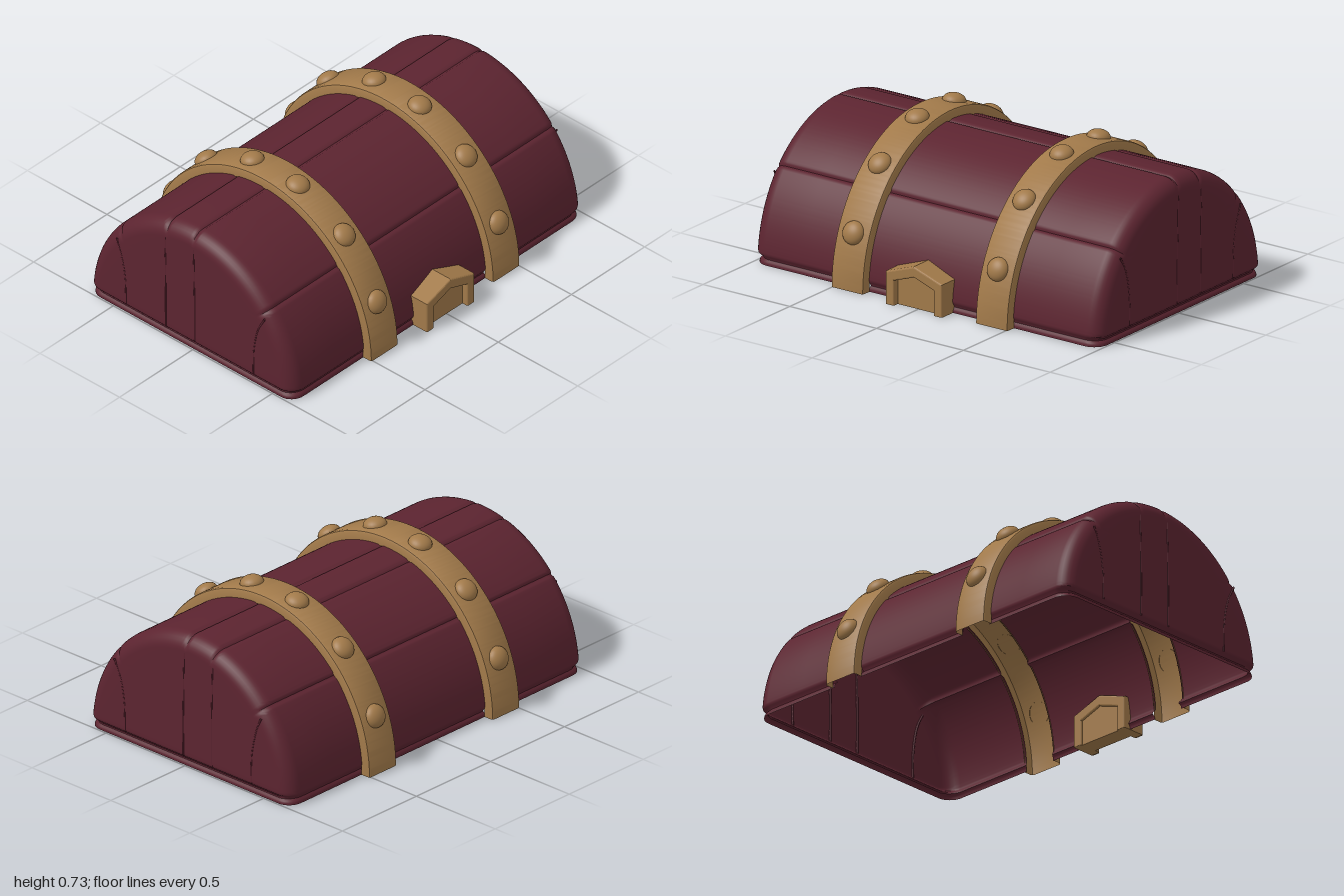
import * as THREE from 'three';
import { toCreasedNormals } from 'three/addons/utils/BufferGeometryUtils.js';

const HALF_DEPTH = 0.645, HEIGHT = 0.665, CENTER_Z = -0.02, STEPS = 240;
const SEAMS = [0.744, 0.031, -0.248, -0.729].map(Math.acos);

// Narrow groove above the bottom rim
const pinch = (y) => 1 - 0.02 * Math.exp(-(((y - 0.032) / 0.012) ** 2)) - (y < 0.03 ? 0.008 : 0);

// Arched skin through rings ordered along x.
// t: offset from the arch, s: overall scale, flat: sideways collapse for end caps
function archSkin(rings, grooved) {
  const pos = [], index = [];
  for (const { x, t = 0, s = 1, flat = 1 } of rings) {
    for (let j = 0; j <= STEPS; j++) {
      const a = (j / STEPS) * Math.PI;
      let dip = 0;
      if (grooved) for (const seam of SEAMS) dip += 0.011 * Math.exp(-(((a - seam) / 0.014) ** 2));
      const y = Math.max(0, (HEIGHT + t - dip) * Math.sin(a) * s);
      const z = (HALF_DEPTH + t - dip) * Math.cos(a) * s * flat;
      const p = grooved ? pinch(y) : 1;
      pos.push(x * p, y, z * p + CENTER_Z);
    }
  }
  const row = STEPS + 1;
  for (let i = 0; i < rings.length - 1; i++) {
    for (let j = 0; j < STEPS; j++) {
      const a = i * row + j, b = a + row;
      index.push(a, b, a + 1, b, b + 1, a + 1);
    }
  }
  const geo = new THREE.BufferGeometry();
  geo.setAttribute('position', new THREE.Float32BufferAttribute(pos, 3));
  geo.setIndex(index);
  return toCreasedNormals(geo, 0.6);
}

// Five-sided outline with a peaked top
function peaked(w, side, peak) {
  return [[-w, 0], [w, 0], [w, side], [0, peak], [-w, side]].map(([x, y]) => new THREE.Vector2(x, y));
}

export function createModel() {
  const model = new THREE.Group();
  const wood = new THREE.MeshStandardMaterial({ color: 0x5c2430, side: THREE.DoubleSide });
  wood.name = 'dark red wood';
  const brass = new THREE.MeshStandardMaterial({ color: 0xa27a4a, side: THREE.DoubleSide });
  brass.name = 'brass';

  const add = (parent, name, geo, mat) => {
    const mesh = new THREE.Mesh(geo, mat);
    mesh.name = name;
    parent.add(mesh);
    return mesh;
  };

  // Wooden skin in three lengths, with open gaps beneath the straps
  const R = 0.075;
  const endRings = [{ x: 0.5 }, { x: 0.7 }];
  for (let k = 0; k <= 8; k++) {
    const a = (k / 8) * Math.PI / 2;
    endRings.push({ x: 1 - R + R * Math.sin(a), s: 1 - (R / HEIGHT) * (1 - Math.cos(a)) });
  }
  const s = endRings[endRings.length - 1].s;
  for (const flat of [0.75, 0.5, 0.25, 0]) endRings.push({ x: 1, s, flat });
  const mirrored = endRings.map((r) => ({ ...r, x: -r.x })).reverse();
  add(model, 'leftPlanks', archSkin(endRings, true), wood);
  add(model, 'rightPlanks', archSkin(mirrored, true), wood);
  add(model, 'middlePlanks', archSkin([{ x: -0.33 }, { x: 0 }, { x: 0.33 }], true), wood);

  // Fine plank joints on both ends, as [z, y] points
  const joints = [
    [[0.38, 0.05], [0.385, 0.2], [0.41, 0.32], [0.45, 0.4]],
    [[0.01, 0.05], [0.01, 0.3], [0.005, 0.58]],
    [[-0.17, 0.05], [-0.17, 0.3], [-0.175, 0.56]],
    [[-0.42, 0.05], [-0.425, 0.2], [-0.45, 0.32], [-0.48, 0.4]],
  ];
  for (const side of [-1, 1]) {
    for (const joint of joints) {
      const path = new THREE.CatmullRomCurve3(joint.map(([z, y]) => new THREE.Vector3(side * 0.997, y, z)));
      add(model, 'endJoint', new THREE.TubeGeometry(path, 16, 0.005, 6), wood);
    }
  }

  // Straps with domed studs
  const strapGeo = archSkin([
    { x: -0.093, t: -0.005 }, { x: -0.093, t: 0.034 }, { x: -0.089, t: 0.042 }, { x: -0.081, t: 0.046 },
    { x: 0.081, t: 0.046 }, { x: 0.089, t: 0.042 }, { x: 0.093, t: 0.034 }, { x: 0.093, t: -0.005 },
  ], false);
  const studGeo = new THREE.SphereGeometry(1, 24, 10, 0, Math.PI * 2, 0, Math.PI / 2);
  studGeo.scale(0.057, 0.039, 0.057);
  for (const x of [-0.416, 0.416]) {
    const strap = new THREE.Group();
    strap.name = 'strap';
    strap.position.x = x;
    add(strap, 'strapBand', strapGeo, brass);
    for (const deg of [22.3, 51, 78, 102, 129, 157.7]) {
      const a = THREE.MathUtils.degToRad(deg);
      const stud = add(strap, 'stud', studGeo, brass);
      stud.position.set(0, (HEIGHT + 0.044) * Math.sin(a), (HALF_DEPTH + 0.044) * Math.cos(a) + CENTER_Z);
      stud.rotation.x = Math.PI / 2 - a;
    }
    model.add(strap);
  }

  // Peaked latch: raised frame around a recessed plate
  const latch = new THREE.Group();
  latch.name = 'latch';
  latch.position.set(-0.005, 0, 0.59);
  const frame = new THREE.Shape([
    [-0.155, 0], [-0.122, 0], [-0.122, 0.128], [0, 0.17], [0.122, 0.128], [0.122, 0],
    [0.155, 0], [0.155, 0.155], [0, 0.208], [-0.155, 0.155],
  ].map(([x, y]) => new THREE.Vector2(x, y)));
  const frameGeo = new THREE.ExtrudeGeometry(frame, {
    depth: 0.107, bevelThickness: 0.01, bevelSize: 0.008, bevelSegments: 3,
  });
  // Keep the lower edge level with the base
  const p = frameGeo.attributes.position;
  for (let i = 0; i < p.count; i++) p.setY(i, Math.max(0, p.getY(i)));
  add(latch, 'latchFrame', frameGeo, brass);
  const plateGeo = new THREE.ExtrudeGeometry(new THREE.Shape(peaked(0.13, 0.135, 0.18)), {
    depth: 0.085, bevelEnabled: false,
  });
  add(latch, 'latchPlate', plateGeo, brass);
  model.add(latch);

  return model;
}
